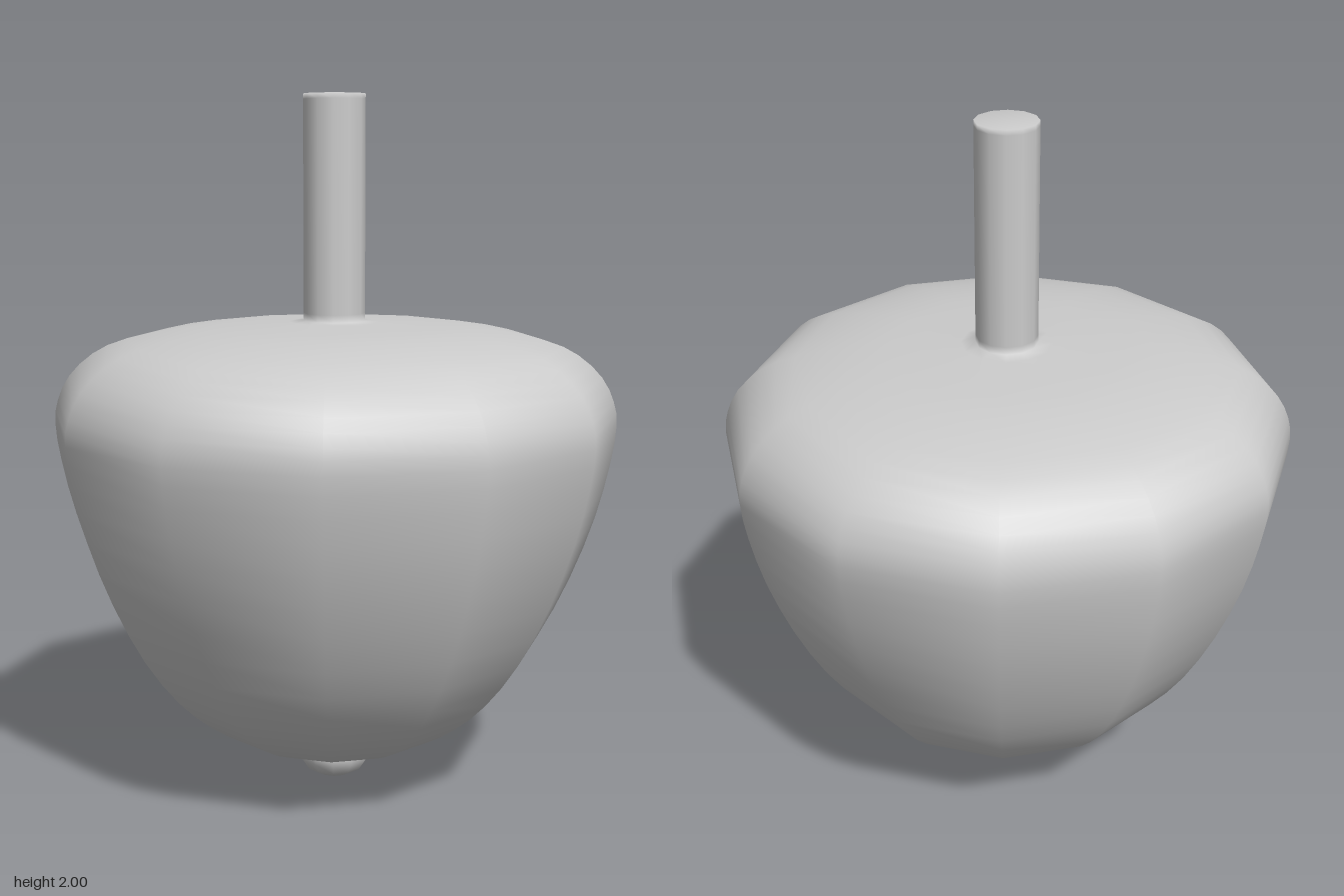
import * as THREE from 'three';

const vectors = (pairs) => pairs.map(([r, y]) => new THREE.Vector2(r, y));

export function createModel() {
  const group = new THREE.Group();
  group.name = 'spinningTop';

  // rounded tip it spins on
  const tip = vectors([[0, 0], [0.05, 0.006], [0.085, 0.025], [0.105, 0.055], [0.107, 0.08], [0.1, 0.099]]);

  // full body: narrow below, broad shoulder, nearly flat top
  const body = new THREE.SplineCurve(vectors([
    [0.12, 0.103], [0.2, 0.11], [0.3, 0.145], [0.4, 0.205], [0.5, 0.295], [0.6, 0.43], [0.69, 0.605],
    [0.76, 0.79], [0.8, 0.95], [0.815, 1.06], [0.805, 1.13], [0.77, 1.2], [0.7, 1.265],
    [0.6, 1.309], [0.42, 1.343], [0.25, 1.354], [0.13, 1.36],
  ])).getPoints(32);

  // straight stem with a flat end
  const stem = vectors([[0.088, 1.363], [0.088, 1.385], [0.088, 1.985], [0.088, 2], [0, 2]]);

  // one continuous twelve-sided turning, smooth shaded
  const turned = new THREE.Mesh(
    new THREE.LatheGeometry([...tip, ...body, ...stem], 12),
    new THREE.MeshStandardMaterial({ color: 0xcccccc }),
  );
  turned.name = 'turnedBodyWithStemAndTip';
  group.add(turned);
  return group;
}
